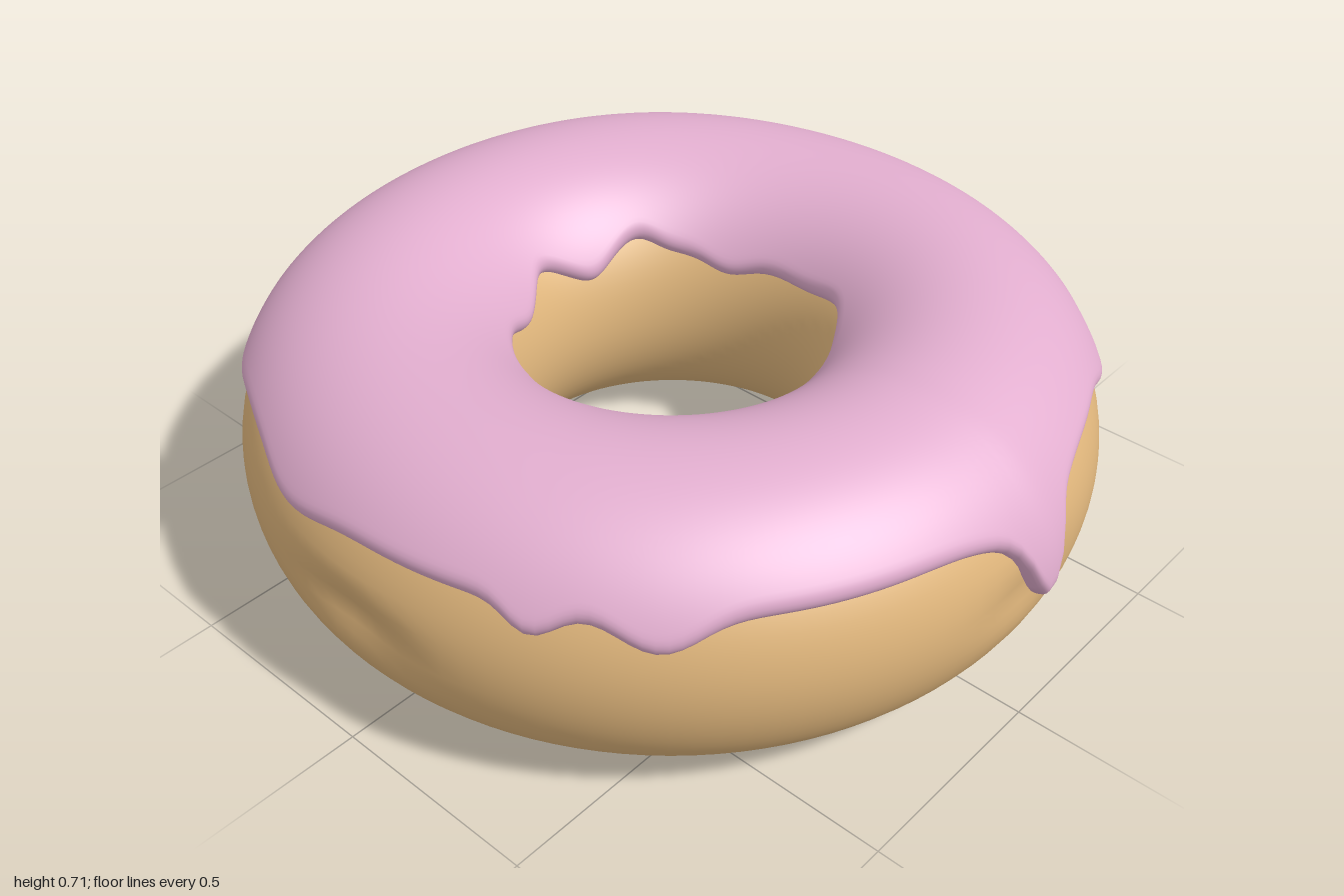
import * as THREE from 'three';

const CENTRE = 0.652, HEIGHT = 0.33, R = 0.325; // ring radius, mid height, section radius
const { degToRad, clamp } = THREE.MathUtils;

// Smooth bump around a direction in degrees, seen from above (0 = +x, 90 = +z)
function bump(a, deg, width) {
  let d = a - degToRad(deg);
  d = Math.atan2(Math.sin(d), Math.cos(d)) / degToRad(width);
  return Math.exp(-d * d);
}

// Drips of the icing rim: direction, depth, width
const outerDrips = [
  [88, 0.14, 3.8], [88, 0.055, 9], [52, 0.055, 6], [0, 0.06, 7], [-23, 0.03, 7],
  [-45, 0.09, 10], [-92, 0.03, 9], [-135, 0.04, 9], [-168, 0.03, 8],
  [154, 0.045, 4], [139, 0.055, 6],
];
const innerDrips = [
  [-115, 0.03, 10], [-95, -0.03, 8], [-75, 0.03, 9], [-55, -0.03, 9], [-20, 0.03, 12],
  [35, -0.03, 15], [90, 0.02, 14], [140, -0.03, 14], [185, 0.03, 12],
];
// Creases pressed into the side of the dough: direction, depth, width
const creases = [[0, 0.036, 9], [180, 0.036, 9], [90, 0.018, 7]];

const sum = (list, a) => list.reduce((t, [deg, d, w]) => t + d * bump(a, deg, w), 0);

// Point at ring angle a and section angle phi, lifted off the dough
function ringPoint(a, phi, lift) {
  const c = Math.cos(phi), s = Math.sin(phi);
  let r = CENTRE + (R + lift) * c;
  if (c > 0) r += 0.018 * c * bump(a, -90, 45);
  const y = HEIGHT + (HEIGHT + lift) * s + Math.max(0, s) * 0.02 * bump(a, -54, 40);
  return [Math.cos(a) * r, y, Math.sin(a) * r];
}

// Skin a grid that closes around the ring, and around the section if asked
function skin(nu, nv, closed, point) {
  const pos = [], idx = [], rows = closed ? nv : nv + 1;
  for (let i = 0; i < nu; i++)
    for (let j = 0; j < rows; j++) pos.push(...point((i / nu) * Math.PI * 2, j / nv));
  for (let i = 0; i < nu; i++)
    for (let j = 0; j < nv; j++) {
      const k = (j + 1) % rows, n = ((i + 1) % nu) * rows;
      const a = i * rows + j, b = i * rows + k, c = n + k, d = n + j;
      idx.push(a, b, c, a, c, d);
    }
  const g = new THREE.BufferGeometry();
  g.setAttribute('position', new THREE.Float32BufferAttribute(pos, 3));
  g.setIndex(idx);
  g.computeVertexNormals();
  return g;
}

function addPart(group, name, geometry, material) {
  const mesh = new THREE.Mesh(geometry, material);
  mesh.name = name;
  group.add(mesh);
}

export function createModel() {
  const group = new THREE.Group();
  group.name = 'donut';

  // Dough ring with V-shaped creases at mid height
  addPart(group, 'dough', skin(120, 72, true, (a, v) => {
    const phi = v * Math.PI * 2;
    const p = ringPoint(a, phi, 0);
    const groove = Math.max(0, 1 - Math.abs(p[1] - HEIGHT) / 0.09);
    const k = Math.cos(phi) > 0 ? 1 - groove * sum(creases, a) : 1;
    return [p[0] * k, p[1], p[2] * k];
  }), new THREE.MeshStandardMaterial({ color: 0xe0b67c }));

  // Icing shell with a rounded rim that dips into the dough
  addPart(group, 'icing', skin(240, 48, false, (a, v) => {
    const outer = Math.asin((0.505 - sum(outerDrips, a) - HEIGHT) / HEIGHT);
    const inner = Math.PI - Math.asin((0.5 - sum(innerDrips, a) - HEIGHT) / HEIGHT);
    const t = (1 - Math.cos(v * Math.PI)) / 2;
    const phi = outer + (inner - outer) * t;
    const d = clamp((Math.min(phi - outer, inner - phi) * R) / 0.035, 0, 1);
    const drip = 0.006 * bump(a, 88, 5) * Math.max(0, Math.cos(phi));
    const lift = (0.036 + drip) * Math.sqrt(1 - (1 - d) ** 2) - 0.006;
    return ringPoint(a, phi, lift);
  }), new THREE.MeshStandardMaterial({ color: 0xe2aecf, side: THREE.DoubleSide }));

  return group;
}
